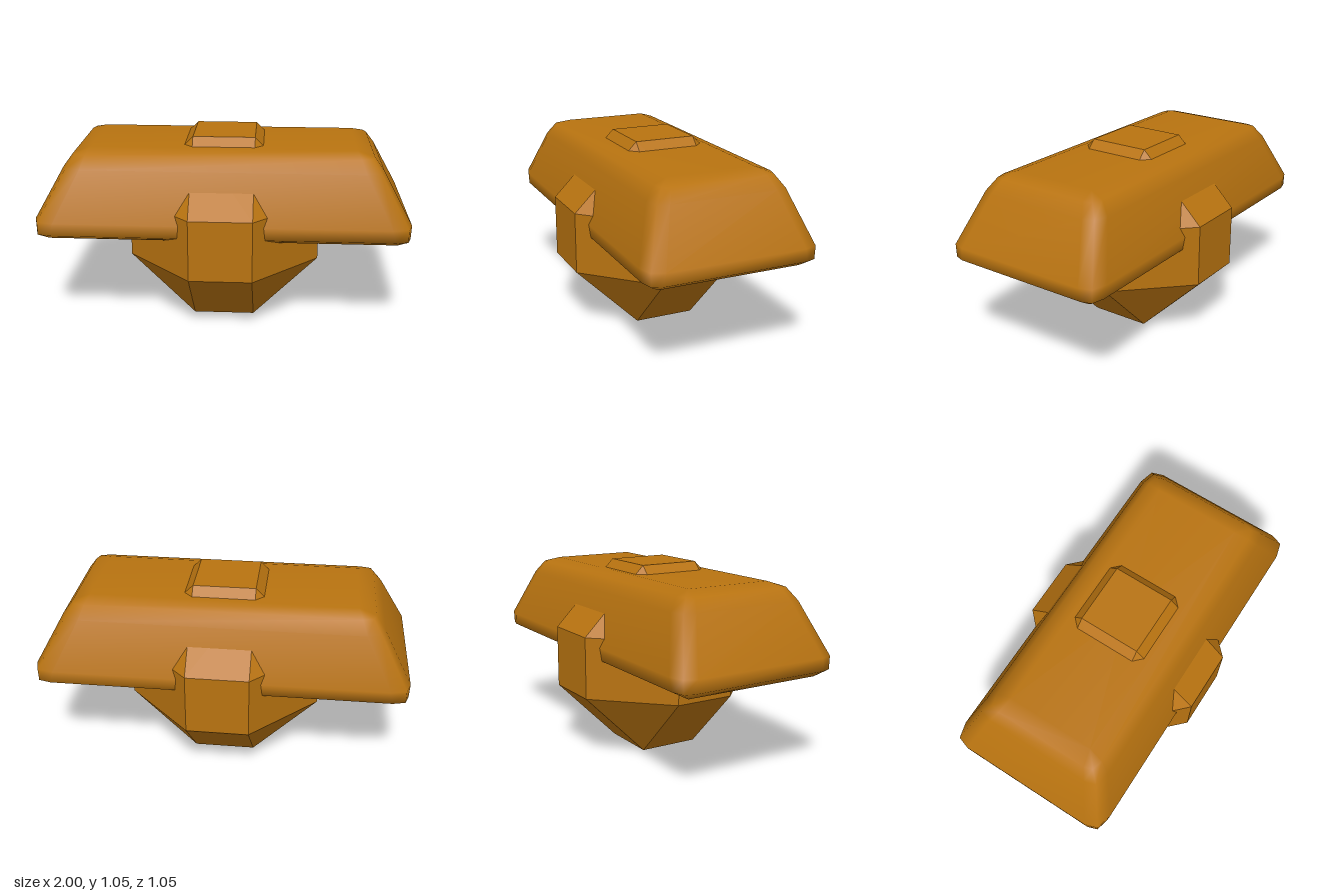
import * as THREE from 'three';
import { mergeVertices } from 'three/addons/utils/BufferGeometryUtils.js';
import { ConvexGeometry } from 'three/addons/geometries/ConvexGeometry.js';

const COLOR = 0xb87310;

// Outline of one level of the bar: a rectangle with three-point corners
function ring({ y, hx, hz, c }) {
  const corner = [[hx, hz - c], [hx - 0.25 * c, hz - 0.25 * c], [hx - 1.2 * c, hz]];
  const back = [...corner].reverse();
  return [
    ...corner,
    ...back.map(([x, z]) => [-x, z]),
    ...corner.map(([x, z]) => [-x, -z]),
    ...back.map(([x, z]) => [x, -z]),
  ].map(([x, z]) => [x, y, z]);
}

// Bevelled bar, lofted through the levels from bottom to top
function barGeometry() {
  const levels = [
    { y: 0.53, hx: 0.93, hz: 0.385, c: 0 },
    { y: 0.57, hx: 0.995, hz: 0.46, c: 0.07 },
    { y: 0.64, hx: 1.0, hz: 0.468, c: 0.09 },
    { y: 0.91, hx: 0.85, hz: 0.37, c: 0.08 },
    { y: 0.977, hx: 0.8, hz: 0.32, c: 0.06 },
    { y: 1.003, hx: 0.71, hz: 0.24, c: 0 },
  ];
  const n = 12;
  const points = levels.flatMap(ring);
  const bottom = points.length, top = bottom + 1;
  points.push([0, levels[0].y, 0], [0, levels[levels.length - 1].y, 0]);
  const index = [];
  const last = (levels.length - 1) * n;
  for (let j = 0; j < n; j++) {
    const k = (j + 1) % n;
    for (let a = 0; a < last; a += n) {
      const b = a + n;
      index.push(a + j, b + j, a + k, a + k, b + j, b + k);
    }
    index.push(bottom, j, k, top, last + k, last + j);
  }
  let geometry = new THREE.BufferGeometry();
  geometry.setAttribute('position', new THREE.Float32BufferAttribute(points.flat(), 3));
  geometry.setIndex(index);
  geometry = mergeVertices(geometry);
  geometry.computeVertexNormals();
  return geometry;
}

// Faceted gem: six squares joined by rectangles and corner triangles
function gemGeometry() {
  const a = 0.168, b = 0.524;
  const points = [];
  for (const sx of [-1, 1]) for (const sy of [-1, 1]) for (const sz of [-1, 1]) {
    for (const [x, y, z] of [[b, a, a], [a, b, a], [a, a, b]]) {
      points.push(new THREE.Vector3(sx * x, sy * y, sz * z));
    }
  }
  return new ConvexGeometry(points);
}

export function createModel() {
  const group = new THREE.Group();

  const bar = new THREE.Mesh(barGeometry(), new THREE.MeshStandardMaterial({ color: COLOR }));
  bar.name = 'bar';
  group.add(bar);

  const gem = new THREE.Mesh(
    gemGeometry(),
    new THREE.MeshStandardMaterial({ color: COLOR, flatShading: true }),
  );
  gem.name = 'gem';
  gem.position.y = 0.524;
  group.add(gem);

  return group;
}
